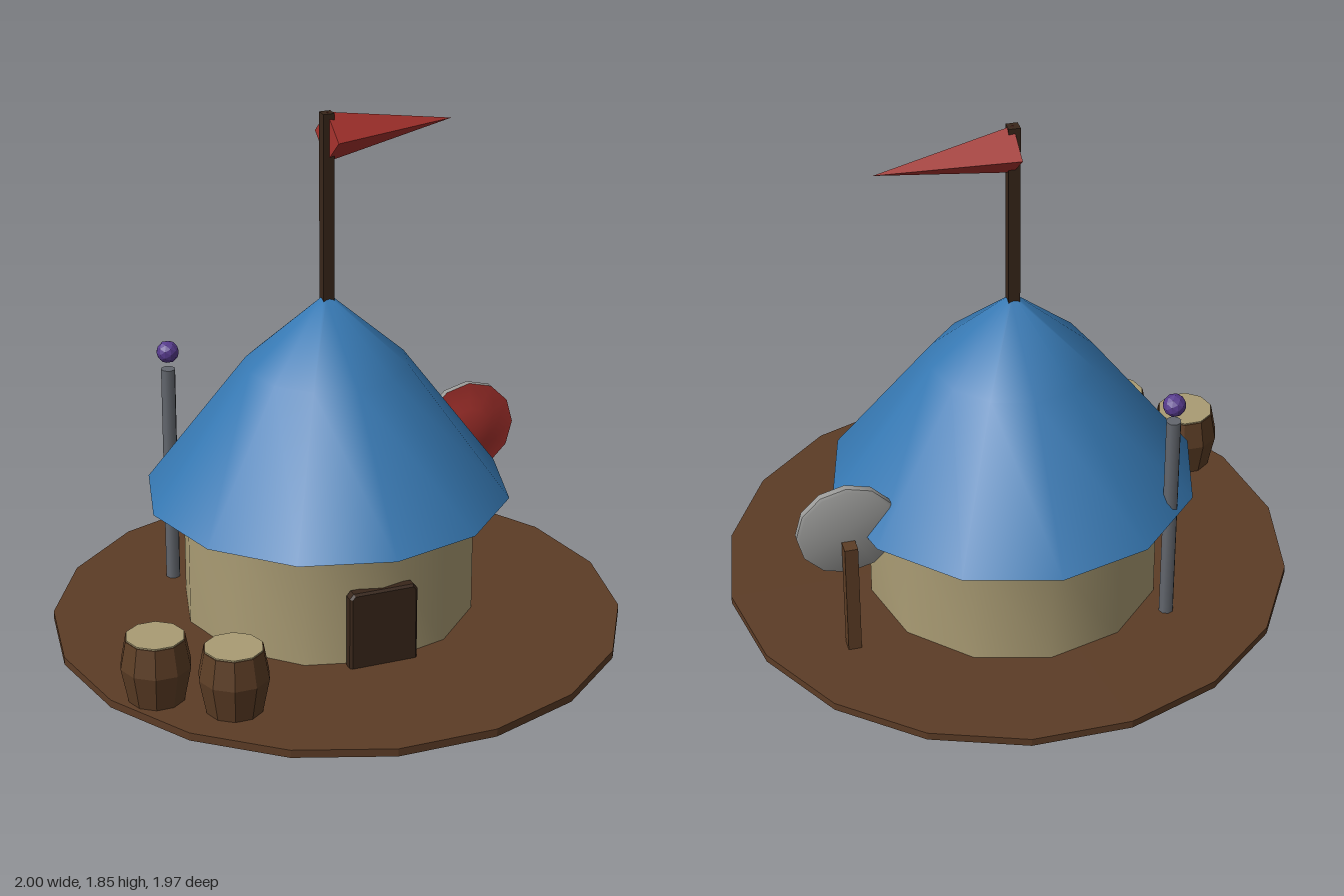
import * as THREE from 'three';
import { toCreasedNormals } from 'three/addons/utils/BufferGeometryUtils.js';

const paint = (color, flatShading = false) => new THREE.MeshStandardMaterial({ color, flatShading });
const EARTH = 0x5c3c26, WOOD = 0x5c3d25, DARK = 0x38261a, PLASTER = 0xaa9c74;
const RED = 0xa8322d, BLUE = 0x3678b2, GREY = 0x9a9a98, STEEL = 0x63676e, PURPLE = 0x563a8c;
const HOUSE_Z = -0.09;

export function createModel() {
  const model = new THREE.Group();

  const add = (name, geometry, color, [x, y, z], flat = false, parent = model) => {
    const mesh = new THREE.Mesh(geometry, paint(color, flat));
    mesh.name = name;
    mesh.position.set(x, y, z);
    parent.add(mesh);
    return mesh;
  };
  // Turned shape, profile listed from bottom to top, smooth round the sides with sharp rims
  const turned = (profile, sides, start = 0, crease = 0.9) =>
    toCreasedNormals(new THREE.LatheGeometry(
      profile.map(([r, y]) => new THREE.Vector2(r, y)), sides, start), crease);

  // Ground disc with a very slightly bulged underside
  add('ground', turned([[0, 0.002], [0.56, 0.004], [1, 0.012], [1, 0.04], [0, 0.042]], 18, Math.PI / 2, 0.3),
    EARTH, [0, 0, 0]);
  add('floorPlug', new THREE.CylinderGeometry(0.065, 0.065, 0.02, 12), PLASTER, [0, 0.01, HOUSE_Z]);

  // House
  add('wall', turned([[0.515, 0.02], [0.515, 0.48]], 12), PLASTER, [0, 0, HOUSE_Z]);
  add('roof', turned([[0, 0.46], [0.5, 0.46], [0.64, 0.475], [0.285, 0.95], [0.02, 1.185], [0, 1.19]], 12),
    BLUE, [0, 0, HOUSE_Z]);

  // Door with clipped upper corners
  const outline = new THREE.Shape([[-0.115, 0.004], [0.115, 0.004], [0.115, 0.3], [0.105, 0.312],
    [-0.105, 0.312], [-0.115, 0.3]].map(([x, y]) => new THREE.Vector2(x, y)));
  add('door', new THREE.ExtrudeGeometry(outline, {
    depth: 0.03, bevelEnabled: true, bevelSize: 0.008, bevelThickness: 0.008, bevelSegments: 1,
  }), DARK, [0, 0, 0.403], true);

  // Flagpole and four-sided pennant
  add('flagpole', new THREE.BoxGeometry(0.04, 0.7, 0.04), DARK, [0, 1.49, HOUSE_Z]);
  const pennant = new THREE.ConeGeometry(0.087, 0.477, 4);
  pennant.translate(0, 0.2385, 0).rotateZ(-Math.PI / 2);
  add('pennant', pennant, RED, [0, 1.755, HOUSE_Z], true).rotation.y = 0.105;

  // Round target on a post: grey back, domed red face
  const target = new THREE.Group();
  target.name = 'target';
  target.position.set(0.638, 0.51, -0.338);
  target.rotation.x = Math.PI / 2;
  model.add(target);
  add('targetBack', turned([[0, 0], [0.165, 0], [0.175, 0.006], [0.175, 0.03]], 12), GREY, [0, 0, 0], false, target);
  add('targetFace', turned([[0.175, 0.03], [0.115, 0.036], [0.08, 0.046], [0.035, 0.051], [0, 0.052]], 12),
    RED, [0, 0, 0], false, target);
  add('targetPost', new THREE.BoxGeometry(0.046, 0.45, 0.05), WOOD, [0.638, 0.245, -0.362]);

  // Staff topped with an orb
  add('staff', new THREE.CylinderGeometry(0.026, 0.026, 0.82, 8), STEEL, [-0.457, 0.44, -0.458]);
  add('orb', new THREE.IcosahedronGeometry(0.04, 1), PURPLE, [-0.457, 0.914, -0.458], true);

  // Barrels
  [[-0.79, 0.375], [-0.575, 0.543]].forEach(([x, z]) => {
    const barrel = new THREE.Group();
    barrel.name = 'barrel';
    barrel.position.set(x, 0, z);
    model.add(barrel);
    add('barrelBody', new THREE.LatheGeometry([[0, 0.03], [0.095, 0.03], [0.122, 0.165], [0.103, 0.264], [0, 0.264]]
      .map(([r, y]) => new THREE.Vector2(r, y)), 10, Math.PI / 10), WOOD, [0, 0, 0], true, barrel);
    add('barrelLid', new THREE.CylinderGeometry(0.1, 0.1, 0.014, 10, 1, false, Math.PI / 10),
      PLASTER, [0, 0.262, 0], true, barrel);
  });

  return model;
}
